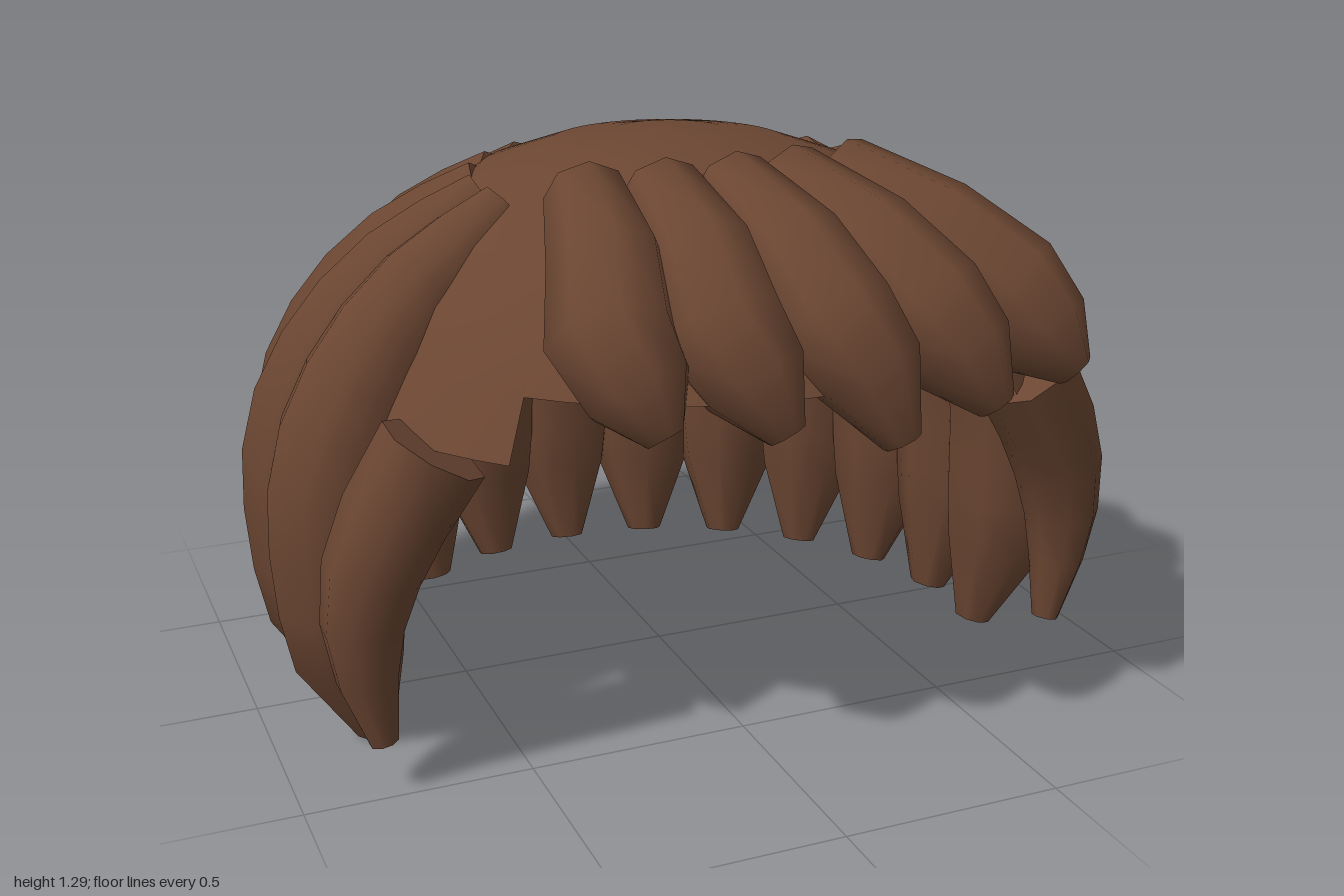
import * as THREE from 'three';

const hair = new THREE.MeshStandardMaterial({ color: 0x6b4632, side: THREE.DoubleSide });
hair.name = 'brown hair';
const SIDES = 8;
const rad = THREE.MathUtils.degToRad;

// Tapered tube through points [x, y, z, radius], one ring per point, closed at both ends.
// One corner of every ring points along the outward direction.
function lockGeometry(points, outward) {
  const centres = points.map(p => new THREE.Vector3(p[0], p[1], p[2]));
  const pos = [], index = [];
  const rings = centres.map((c, i) => {
    const dir = centres[Math.min(i + 1, centres.length - 1)].clone()
      .sub(centres[Math.max(i - 1, 0)]).normalize();
    const u = outward.clone().addScaledVector(dir, -outward.dot(dir)).normalize();
    const v = dir.clone().cross(u);
    return Array.from({ length: SIDES }, (_, k) => {
      const a = k / SIDES * Math.PI * 2;
      return c.clone().addScaledVector(u, Math.cos(a) * points[i][3])
        .addScaledVector(v, Math.sin(a) * points[i][3]);
    });
  });
  rings.forEach(ring => ring.forEach(p => pos.push(p.x, p.y, p.z)));
  for (let i = 0; i < rings.length - 1; i++) {
    for (let k = 0; k < SIDES; k++) {
      const a = i * SIDES + k, b = i * SIDES + (k + 1) % SIDES;
      index.push(a, b, a + SIDES, b, b + SIDES, a + SIDES);
    }
  }
  // Flat end discs with their own corners, so the rims stay sharp
  [rings[0], rings[rings.length - 1]].forEach((ring, end) => {
    const base = pos.length / 3;
    ring.forEach(p => pos.push(p.x, p.y, p.z));
    for (let k = 1; k < SIDES - 1; k++) {
      if (end) index.push(base, base + k, base + k + 1);
      else index.push(base, base + k + 1, base + k);
    }
  });
  const g = new THREE.BufferGeometry();
  g.setAttribute('position', new THREE.Float32BufferAttribute(pos, 3));
  g.setIndex(index);
  g.computeVertexNormals();
  return g;
}

function add(group, geometry, name) {
  const mesh = new THREE.Mesh(geometry, hair);
  mesh.name = name;
  group.add(mesh);
}

export function createModel() {
  const model = new THREE.Group();
  model.name = 'hair';

  // Scalp cap: lathe pieces that stop higher around the face
  const profile = [[0.93, 0.21], [0.92, 0.4], [0.88, 0.6], [0.82, 0.76], [0.75, 0.88], [0.67, 1.0],
    [0.56, 1.11], [0.43, 1.205], [0.27, 1.26], [0.13, 1.283], [0, 1.29]];
  const cap = new THREE.Group();
  cap.name = 'scalpCap';
  cap.position.z = 0.06;
  const capPieces = [
    ['capFront', -45, 45, 4], ['capTempleLeft', 45, 62, 3], ['capTempleRight', -62, -45, 3],
    ['capSideLeft', 62, 78, 3], ['capSideRight', -78, -62, 3], ['capBack', 78, 282, 0],
  ];
  for (const [name, from, to, first] of capPieces) {
    const pts = profile.slice(first).map(p => new THREE.Vector2(p[0], p[1]));
    const segments = Math.ceil((to - from) / 7);
    add(cap, new THREE.LatheGeometry(pts, segments, rad(from), rad(to - from)), name);
  }
  model.add(cap);

  // Long locks fanned around the back and sides: [distance from axis, y, radius]
  const longLock = [[0.425, 1.15, 0.076], [0.52, 1.085, 0.096], [0.615, 1.01, 0.115],
    [0.7, 0.915, 0.132], [0.768, 0.815, 0.142], [0.818, 0.71, 0.149], [0.843, 0.6, 0.153],
    [0.848, 0.48, 0.152], [0.843, 0.34, 0.145], [0.832, 0.22, 0.129], [0.78, 0.012, 0.045]];
  const locks = new THREE.Group();
  locks.name = 'backLocks';
  for (let i = -6; i <= 6; i++) {
    const a = i * Math.PI * 2 / 22;
    const s = Math.sin(a), c = -Math.cos(a);
    const pts = longLock.map(([r, y, w]) => [s * r, y, 0.1 + c * r, w]);
    add(locks, lockGeometry(pts, new THREE.Vector3(s, 0.25, c)), 'backLock');
  }
  model.add(locks);

  // Fringe swept to one side: [top x, top z, middle x, tip x, tip y, tip z]
  const fringe = [
    [-0.3, 0.33, -0.375, -0.31, 0.83, 0.79],
    [-0.14, 0.35, -0.15, -0.06, 0.81, 0.81],
    [0.02, 0.35, 0.08, 0.18, 0.775, 0.845],
    [0.16, 0.33, 0.31, 0.42, 0.81, 0.81],
    [0.3, 0.31, 0.54, 0.65, 0.84, 0.75],
  ];
  const fringeGroup = new THREE.Group();
  fringeGroup.name = 'fringe';
  for (const [tx, tz, mx, ex, ey, ez] of fringe) {
    const pts = [
      [tx, 1.21, tz, 0.09],
      [tx + (mx - tx) * 0.5, 1.115, tz + (ez - tz) * 0.47, 0.122],
      [mx, 1.0, ez - 0.12, 0.136],
      [mx + (ex - mx) * 0.45, 0.915, ez - 0.045, 0.115],
      [ex, ey, ez, 0.042],
    ];
    add(fringeGroup, lockGeometry(pts, new THREE.Vector3(mx * 0.3, 0.7, 0.7)), 'fringeLock');
  }
  model.add(fringeGroup);

  // Curved locks in front of the ears
  for (const side of [1, -1]) {
    const pts = [[0.69, 0.76, 0.49, 0.118], [0.775, 0.62, 0.475, 0.113], [0.825, 0.5, 0.462, 0.104],
      [0.847, 0.38, 0.455, 0.088], [0.842, 0.26, 0.455, 0.066], [0.815, 0.115, 0.465, 0.032]]
      .map(([x, y, z, r]) => [x * side, y, z, r]);
    add(model, lockGeometry(pts, new THREE.Vector3(side, 0, 0.4)),
      side > 0 ? 'leftSideLock' : 'rightSideLock');
  }
  return model;
}
